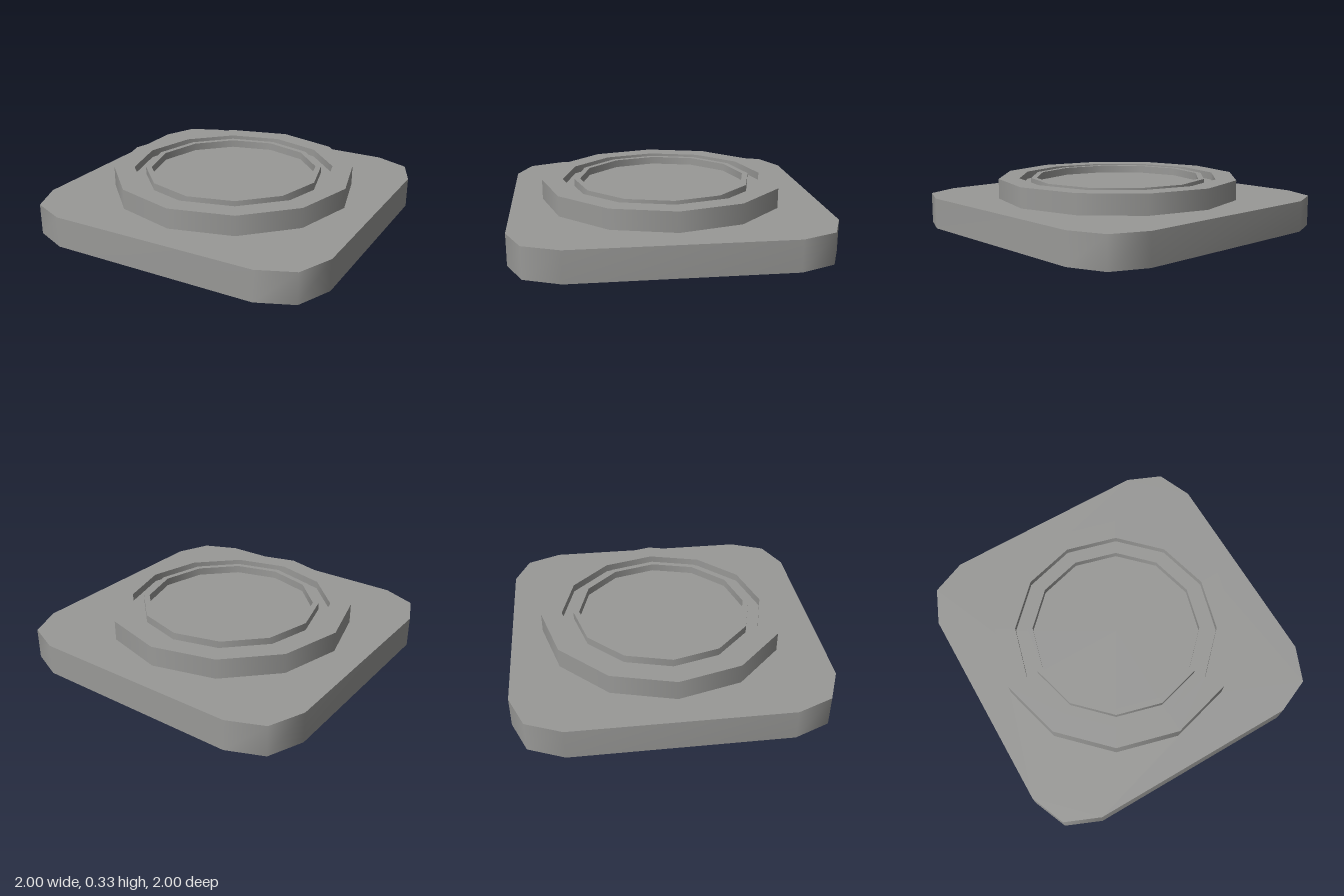
import * as THREE from 'three';
import { mergeVertices } from 'three/addons/utils/BufferGeometryUtils.js';

const SIDES = 12;
const DECK = 0.2, RIM = 0.33, SUNK = 0.28;

export function createModel() {
  const group = new THREE.Group();
  const stone = new THREE.MeshStandardMaterial({ color: 0x999997, side: THREE.DoubleSide });
  stone.name = 'warm grey';

  const add = (name, geometry, y = 0) => {
    const mesh = new THREE.Mesh(geometry, stone);
    mesh.name = name;
    mesh.position.y = y;
    group.add(mesh);
  };
  // Flat twelve-sided ring facing up
  const flat = (name, inner, outer, y) =>
    add(name, new THREE.RingGeometry(inner, outer, SIDES).rotateX(-Math.PI / 2), y);
  // Upright twelve-sided wall, smooth shaded
  const wall = (name, r, y0, y1) =>
    add(name, new THREE.CylinderGeometry(r, r, y1 - y0, SIDES, 1, true), (y0 + y1) / 2);

  // Square outline with bevelled corners, three points per corner
  const outline = [];
  for (let q = 0; q < 4; q++) {
    for (const [a, b] of [[0.68, 1], [0.905, 0.905], [1, 0.68]]) {
      let x = a, z = b;
      for (let k = 0; k < q; k++) [x, z] = [z, -x];
      outline.push([x, z]);
    }
  }

  // Base skirt, open underneath
  let skirt = new THREE.CylinderGeometry(1, 1, DECK, SIDES, 1, true);
  const pos = skirt.attributes.position;
  for (let i = 0; i < pos.count; i++) {
    const [x, z] = outline[(i % (SIDES + 1)) % SIDES];
    pos.setX(i, x);
    pos.setZ(i, z);
  }
  skirt.deleteAttribute('uv');
  skirt.deleteAttribute('normal');
  skirt = mergeVertices(skirt);
  skirt.computeVertexNormals();
  add('baseSkirt', skirt, DECK / 2);

  // Base deck with an opening under the raised ring
  const deck = new THREE.Shape(outline.map(([x, z]) => new THREE.Vector2(x, -z)));
  const hole = [];
  for (let i = 0; i < SIDES; i++) {
    const t = (i / SIDES) * Math.PI * 2;
    hole.push(new THREE.Vector2(0.8 * Math.cos(t), 0.8 * Math.sin(t)));
  }
  deck.holes.push(new THREE.Path(hole));
  add('baseDeck', new THREE.ShapeGeometry(deck).rotateX(-Math.PI / 2), DECK);

  // Raised ring, groove, thin lip and sunken centre
  wall('ringOuterWall', 0.8, DECK, RIM);
  flat('ringTop', 0.665, 0.8, RIM);
  wall('grooveOuterWall', 0.665, SUNK, RIM);
  flat('grooveFloor', 0.588, 0.665, SUNK);
  wall('grooveInnerWall', 0.588, SUNK, RIM);
  flat('lipTop', 0.55, 0.588, RIM);
  wall('lipInnerWall', 0.55, SUNK, RIM);
  add('centrePanel', new THREE.CircleGeometry(0.55, SIDES).rotateX(-Math.PI / 2), SUNK);

  return group;
}
